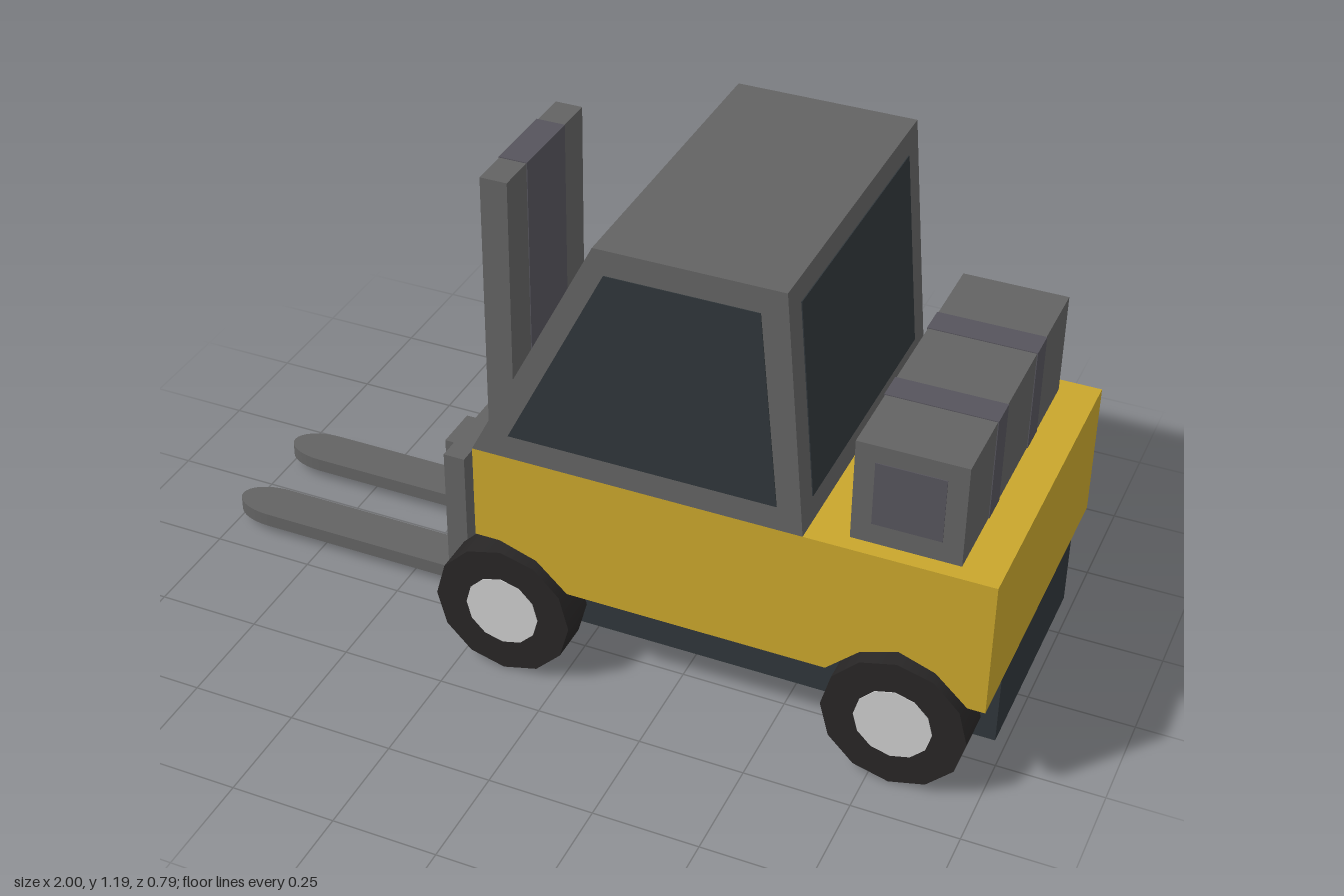
import * as THREE from 'three';

const material = (color) => new THREE.MeshStandardMaterial({ color, flatShading: false });

export function createModel() {
  const model = new THREE.Group();
  model.name = 'forklift';
  const yellow = material(0xc9a62c), grey = material(0x636363), strap = material(0x56545c);
  const dark = material(0x30363a), rubber = material(0x282626), metal = material(0xbdbdbd);

  const add = (name, geometry, mat) => {
    const mesh = new THREE.Mesh(geometry, mat);
    mesh.name = name;
    model.add(mesh);
    return mesh;
  };
  // Box given by its limits on each axis
  const box = (name, mat, [x0, x1], [y0, y1], [z0, z1]) => {
    const mesh = add(name, new THREE.BoxGeometry(x1 - x0, y1 - y0, z1 - z0), mat);
    mesh.position.set((x0 + x1) / 2, (y0 + y1) / 2, (z0 + z1) / 2);
    return mesh;
  };
  // Side profile extruded from z0 to z1
  const prism = (name, mat, points, z0, z1) => {
    const shape = new THREE.Shape(points.map(([x, y]) => new THREE.Vector2(x, y)));
    const geometry = new THREE.ExtrudeGeometry(shape, { depth: z1 - z0, bevelEnabled: false });
    return add(name, geometry.translate(0, 0, z0), mat);
  };

  // Chassis and body, with wheel arches cut into the outer sides
  box('chassis', dark, [-0.2, 0.998], [0.09, 0.28], [-0.27, 0.27]);
  box('bodyCore', yellow, [-0.2, 1], [0.27, 0.605], [-0.275, 0.275]);
  const bodySide = [
    [-0.2, 0.605], [-0.2, 0.37], [-0.14, 0.37], [-0.05, 0.34], [0.025, 0.27],
    [0.64, 0.27], [0.715, 0.34], [0.8, 0.37], [0.885, 0.34], [0.96, 0.27], [1, 0.27], [1, 0.605],
  ];
  prism('bodySideLeft', yellow, bodySide, 0.275, 0.395);
  prism('bodySideRight', yellow, bodySide, -0.395, -0.275);

  // Cab and side windows; the glass prism runs through the cab
  prism('cab', grey, [[-0.2, 0.605], [0.575, 0.605], [0.52, 1.19], [0.095, 1.19]], -0.395, 0.395);
  prism('sideWindows', dark, [[-0.11, 0.665], [0.515, 0.665], [0.465, 1.13], [0.12, 1.13]], -0.397, 0.397);

  // Windscreen and rear window, thin panes lying on the sloped cab faces
  const pane = (name, [x0, y0], [x1, y1]) => {
    const length = Math.hypot(x1 - x0, y1 - y0);
    const mesh = add(name, new THREE.BoxGeometry(0.005, length, 0.66), dark);
    mesh.position.set((x0 + x1) / 2, (y0 + y1) / 2, 0);
    mesh.rotation.z = -Math.atan2(x1 - x0, y1 - y0);
  };
  pane('windscreen', [-0.17, 0.665], [0.062, 1.125]);
  pane('rearWindow', [0.569, 0.665], [0.525, 1.135]);

  // Tank on the rear deck, with two straps and square end panels
  box('tank', grey, [0.665, 0.91], [0.6, 0.852], [-0.355, 0.355]);
  for (const z of [-0.14, 0.14]) {
    box('tankStrap', strap, [0.663, 0.912], [0.601, 0.854], [z - 0.035, z + 0.035]);
  }
  box('tankEndPanels', strap, [0.71, 0.865], [0.655, 0.81], [-0.357, 0.357]);

  // Mast with a darker centre strip
  box('mast', grey, [-0.265, -0.2], [0.1, 1.165], [-0.19, 0.19]);
  box('mastStrip', strap, [-0.267, -0.198], [0.1, 1.167], [-0.095, 0.095]);

  // Carriage plate and the two forks
  box('carriage', grey, [-0.342, -0.29], [0.025, 0.465], [-0.27, 0.27]);
  for (const z of [-0.127, 0.127]) {
    box('forkUpright', grey, [-0.385, -0.34], [0.025, 0.435], [z - 0.055, z + 0.055]);
    const outline = new THREE.Shape();
    outline.moveTo(-0.36, -0.055);
    outline.lineTo(-0.36, 0.055);
    outline.lineTo(-0.9, 0.055);
    outline.absellipse(-0.9, 0, 0.1, 0.055, Math.PI / 2, Math.PI * 1.5, false);
    const blade = new THREE.ExtrudeGeometry(outline, { depth: 0.035, bevelEnabled: false, curveSegments: 8 });
    blade.rotateX(-Math.PI / 2);
    add('forkBlade', blade, grey).position.set(0, 0.025, z);
  }

  // Four twelve-sided wheels with pale hubs on the outside
  for (const x of [-0.14, 0.8]) {
    for (const side of [-1, 1]) {
      const tyre = new THREE.CylinderGeometry(0.167, 0.167, 0.1, 12).rotateX(Math.PI / 2);
      add('tyre', tyre, rubber).position.set(x, 0.167, side * 0.345);
      const hub = new THREE.CylinderGeometry(0.09, 0.09, 0.02, 12).rotateX(Math.PI / 2);
      add('hub', hub, metal).position.set(x, 0.167, side * 0.387);
    }
  }

  return model;
}
